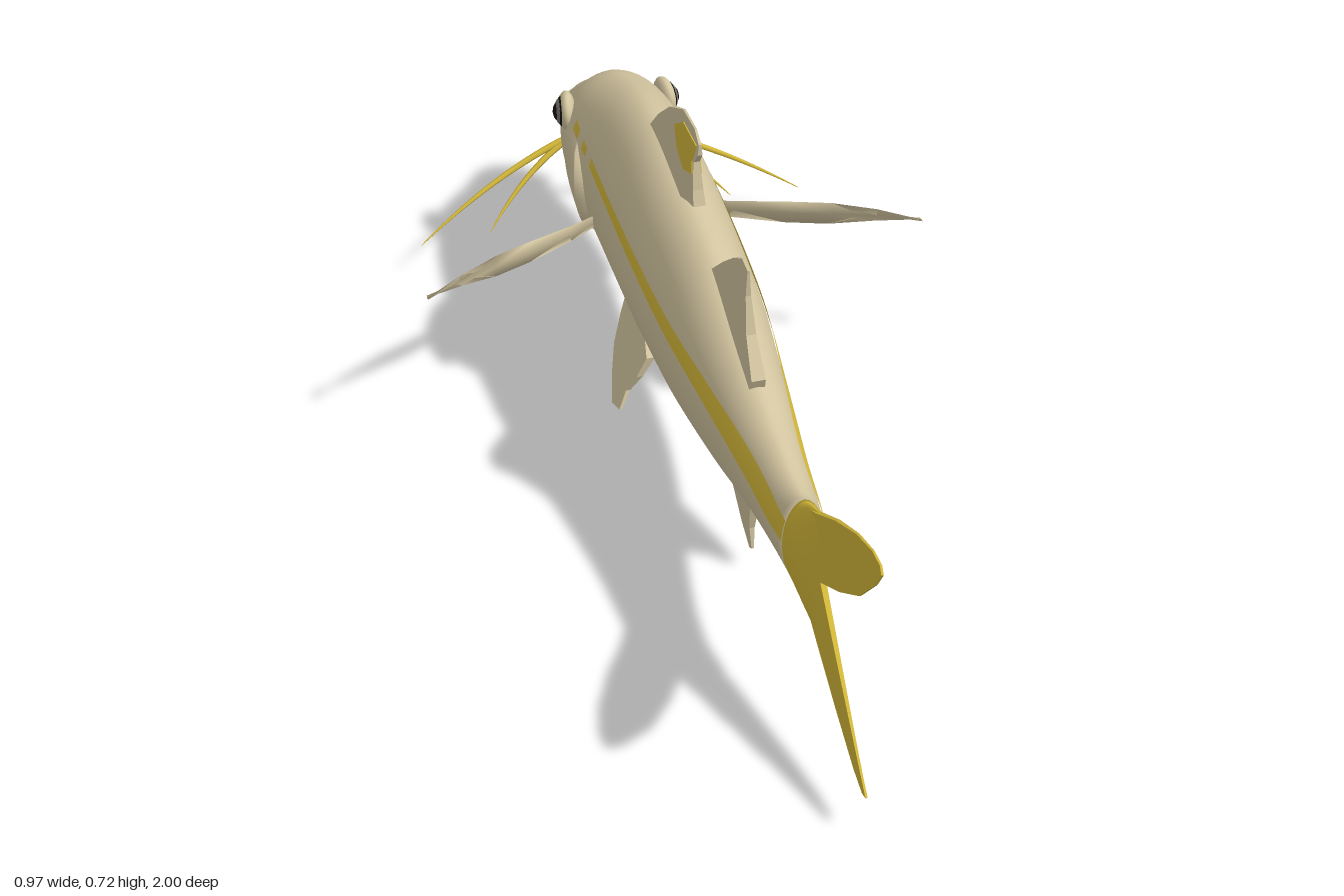
import * as THREE from 'three';

const mat = (name, color) => {
  const m = new THREE.MeshStandardMaterial({ color, side: THREE.DoubleSide });
  m.name = name;
  return m;
};

// Body stations: z, bottom, top, height of widest line, half width
const stations = [
  [-1.0, 0.245, 0.285, 0.265, 0.022], [-0.985, 0.228, 0.305, 0.265, 0.045],
  [-0.95, 0.217, 0.33, 0.27, 0.064], [-0.9, 0.2, 0.365, 0.28, 0.077],
  [-0.8, 0.17, 0.442, 0.31, 0.107], [-0.7, 0.158, 0.485, 0.32, 0.117],
  [-0.55, 0.155, 0.535, 0.33, 0.113], [-0.4, 0.16, 0.555, 0.33, 0.112],
  [-0.2, 0.17, 0.54, 0.33, 0.11], [0, 0.175, 0.518, 0.335, 0.1],
  [0.2, 0.2, 0.463, 0.335, 0.08], [0.4, 0.24, 0.422, 0.335, 0.057],
  [0.57, 0.245, 0.422, 0.333, 0.038], [0.62, 0.215, 0.448, 0.333, 0.024],
  [0.68, 0.195, 0.473, 0.333, 0.006],
];
const spline = new THREE.CubicInterpolant(
  stations.map((s) => s[0]), stations.flatMap((s) => s.slice(1)), 4);

// Half width of the body at a given station and height
function halfWidth(z, y) {
  const [bottom, top, mid, w] = spline.evaluate(z);
  const s = Math.min(1, y > mid ? (y - mid) / (top - mid) : (mid - y) / (mid - bottom));
  return w * Math.pow(1 - s * s, y > mid ? 0.55 : 0.42);
}

// Skin a list of equal-length point rows
function loft(rows, closed) {
  const n = rows[0].length, index = [];
  for (let i = 0; i < rows.length - 1; i++) {
    for (let j = 0; j < (closed ? n : n - 1); j++) {
      const a = i * n + j, b = i * n + (j + 1) % n;
      index.push(a, b, a + n, b, b + n, a + n);
    }
  }
  const g = new THREE.BufferGeometry();
  g.setAttribute('position', new THREE.Float32BufferAttribute(rows.flat(2), 3));
  g.setIndex(index);
  g.computeVertexNormals();
  return g;
}

function bodyLoft(z0, z1, steps) {
  const rows = [];
  for (let i = 0; i <= steps; i++) {
    const z = z0 + (z1 - z0) * i / steps;
    const [bottom, top, mid, w] = spline.evaluate(z);
    const row = [];
    for (let j = 0; j < 48; j++) {
      const a = j / 48 * Math.PI * 2, c = Math.cos(a), s = Math.sin(a);
      const x = Math.sign(c) * w * Math.pow(Math.abs(c), s > 0 ? 1.1 : 0.84);
      row.push([x, mid + s * (s > 0 ? top - mid : mid - bottom), z]);
    }
    rows.push(row);
  }
  const tip = (r) => r.map(() => [0, r[12][1] / 2 + r[36][1] / 2, r[0][2]]);
  return loft([tip(rows[0]), ...rows, tip(rows[steps])], true);
}

// Patch lying on one flank; at(u, v) gives [z, y, offset]
function flankPatch(side, nu, nv, at) {
  const rows = [];
  for (let i = 0; i <= nu; i++) {
    const row = [];
    for (let j = 0; j <= nv; j++) {
      const [z, y, off] = at(i / nu, j / nv);
      row.push([side * (halfWidth(z, y) + off), y, z]);
    }
    rows.push(row);
  }
  return loft(rows, false);
}

// Fin plate from a [z, y] outline, with thickness and sideways lean by rule
function finPlate(outline, thick, lean = () => 0) {
  const shape = new THREE.Shape(outline.map(([z, y]) => new THREE.Vector2(z, y)));
  const g = new THREE.ExtrudeGeometry(shape, { depth: 1, bevelEnabled: false });
  g.translate(0, 0, -0.5).rotateY(-Math.PI / 2);
  const p = g.attributes.position;
  for (let i = 0; i < p.count; i++) {
    const z = p.getZ(i), y = p.getY(i);
    p.setX(i, p.getX(i) * thick(z, y) + lean(z, y));
  }
  g.computeVertexNormals();
  return g;
}

export function createModel() {
  const model = new THREE.Group();
  model.name = 'fish';
  const skin = mat('sandy skin', 0xd3c5a0);
  const yellow = mat('yellow', 0xd6ba3a);
  const grey = mat('iris grey', 0x77736a);
  const black = mat('black', 0x15130f);
  const add = (name, geometry, material) => {
    const m = new THREE.Mesh(geometry, material);
    m.name = name;
    model.add(m);
    return m;
  };

  add('body', bodyLoft(-1, 0.57, 90), skin);
  add('tailRoot', bodyLoft(0.57, 0.68, 10), yellow);

  // Forked tail
  add('tailFin', finPlate([
    [0.58, 0.42], [0.66, 0.465], [0.76, 0.53], [0.87, 0.59], [0.95, 0.62], [0.99, 0.623], [1, 0.61],
    [0.97, 0.565], [0.89, 0.475], [0.79, 0.4], [0.69, 0.337], [0.77, 0.26], [0.87, 0.165], [0.93, 0.11],
    [0.96, 0.085], [0.94, 0.078], [0.89, 0.09], [0.79, 0.135], [0.68, 0.19], [0.58, 0.245],
  ], (z) => Math.max(0.004, 0.014 - (z - 0.58) * 0.03)), yellow);

  // Dorsal and anal fins
  const taper = (root, tip, width) => (z, y) =>
    0.004 + width * Math.max(0, 1 - (y - root) / (tip - root));
  add('frontDorsalFin', finPlate([
    [-0.44, 0.54], [-0.38, 0.605], [-0.31, 0.665], [-0.22, 0.715], [-0.14, 0.723], [-0.11, 0.708],
    [-0.11, 0.685], [-0.135, 0.655], [-0.125, 0.6], [-0.115, 0.57], [-0.16, 0.555], [-0.24, 0.52],
  ], taper(0.52, 0.72, 0.026)), skin);
  add('frontDorsalPatch', finPlate([
    [-0.265, 0.655], [-0.21, 0.695], [-0.12, 0.7], [-0.14, 0.655], [-0.135, 0.63], [-0.19, 0.605], [-0.24, 0.62],
  ], (z, y) => taper(0.52, 0.72, 0.026)(z, y) + 0.004), yellow);
  add('rearDorsalFin', finPlate([
    [0, 0.51], [0.07, 0.575], [0.13, 0.625], [0.18, 0.657], [0.215, 0.655], [0.215, 0.6],
    [0.235, 0.53], [0.285, 0.465], [0.27, 0.43], [0.1, 0.46],
  ], taper(0.45, 0.65, 0.024)), skin);
  add('analFin', finPlate([
    [0.07, 0.19], [0.13, 0.125], [0.19, 0.07], [0.24, 0.045], [0.255, 0.055], [0.25, 0.1],
    [0.265, 0.165], [0.305, 0.215], [0.27, 0.25], [0.1, 0.23],
  ], taper(0.22, 0.05, 0.02)), skin);

  // Lips with the dark mouth slit between them
  const lip = (y, front, r) => new THREE.TubeGeometry(new THREE.CatmullRomCurve3([
    [-0.064, y - 0.015, -0.945], [-0.045, y, front + 0.017], [0, y + 0.003, front],
    [0.045, y, front + 0.017], [0.064, y - 0.015, -0.945],
  ].map((p) => new THREE.Vector3(...p))), 24, r, 8);
  add('upperLip', lip(0.28, -0.99, 0.01), skin);
  add('mouthSlit', lip(0.266, -0.992, 0.006), black);
  add('lowerLip', lip(0.25, -0.985, 0.01), skin);

  for (const side of [1, -1]) {
    const tag = side > 0 ? 'left' : 'right';

    // Flank stripe, broken up near the gill cover
    [[-0.68, -0.64], [-0.605, -0.575], [-0.54, 0.572]].forEach(([z0, z1], i) => {
      add(`${tag}Stripe${i + 1}`, flankPatch(side, 40, 4, (u, v) => {
        const z = z0 + (z1 - z0) * u, t = (z + 0.54) / 1.11;
        const centre = 0.408 - 0.046 * t * t, half = 0.01 + 0.012 * Math.max(0, t);
        return [z, centre + half * (2 * v - 1), 0.003];
      }), yellow);
    });

    // Gill cover, raised toward its rounded rear edge
    add(`${tag}GillCover`, flankPatch(side, 16, 16, (u, v) => {
      const rear = -0.565 - 0.07 * Math.pow(Math.abs(2 * v - 1), 3);
      const rise = u > 0.99 ? -0.006 : 0.02 * u * Math.sqrt(Math.sin(Math.PI * v)) - 0.001;
      return [-0.75 + (rear + 0.75) * u, 0.18 + 0.21 * v, rise];
    }), skin);

    // Eye
    [['EyeSocket', 0.04, 0.018, 0, skin], ['EyeRim', 0.034, 0.018, 0.004, black],
      ['Iris', 0.03, 0.018, 0.007, grey], ['Pupil', 0.022, 0.016, 0.012, black],
    ].forEach(([name, r, depth, out, m]) => {
      const eye = add(tag + name, new THREE.SphereGeometry(1, 20, 14), m);
      eye.scale.set(depth, r, r);
      eye.position.set(side * (0.101 + out), 0.385, -0.765);
      eye.rotation.y = side * 0.18;
    });

    // Pectoral fin: a slim blade swept out and back; span, centre height, half chord
    const blade = [[0, 0.28, 0.02], [0.15, 0.285, 0.024], [0.4, 0.302, 0.03],
      [0.6, 0.318, 0.03], [0.8, 0.334, 0.019], [1, 0.343, 0.001]];
    add(`${tag}PectoralFin`, loft(blade.map(([t, y, h]) => {
      const x = 0.1 + 0.385 * t, z = -0.525 + 0.25 * t, d = 0.007 * (1 - t) + 0.001;
      return [[x, y - h, z - 0.008], [x + d, y, z + d], [x, y + h, z + 0.008], [x - d, y, z - d]]
        .map(([a, b, c]) => [side * a, b, c]);
    }), true), skin);

    // Pelvic fin, splayed outward
    add(`${tag}PelvicFin`, finPlate([
      [-0.46, 0.19], [-0.43, 0.12], [-0.4, 0.07], [-0.35, 0.03], [-0.3, 0.002], [-0.26, 0.014],
      [-0.27, 0.05], [-0.255, 0.09], [-0.25, 0.135], [-0.3, 0.155], [-0.33, 0.19],
    ], taper(0.18, 0, 0.018), (z, y) => side * (0.045 + (0.17 - y) * 0.49)), skin);

    // Chin barbels, tapering to a point
    [[0.4, 0.072, -0.82, 'Long'], [0.255, 0.075, -0.825, 'Short']].forEach(([x, y, z, size]) => {
      const curve = new THREE.QuadraticBezierCurve3(
        new THREE.Vector3(side * 0.05, 0.222, -0.918),
        new THREE.Vector3(side * (0.05 + x * 0.42), 0.17, -0.905),
        new THREE.Vector3(side * x, y, z));
      const g = new THREE.TubeGeometry(curve, 20, 0.007, 6), p = g.attributes.position;
      for (let i = 0; i < p.count; i++) {
        const t = Math.floor(i / 7) / 20, c = curve.getPointAt(t);
        const v = new THREE.Vector3().fromBufferAttribute(p, i).sub(c).multiplyScalar(1 - 0.9 * t * t).add(c);
        p.setXYZ(i, v.x, v.y, v.z);
      }
      add(`${tag}${size}Barbel`, g, yellow);
    });
  }
  return model;
}
